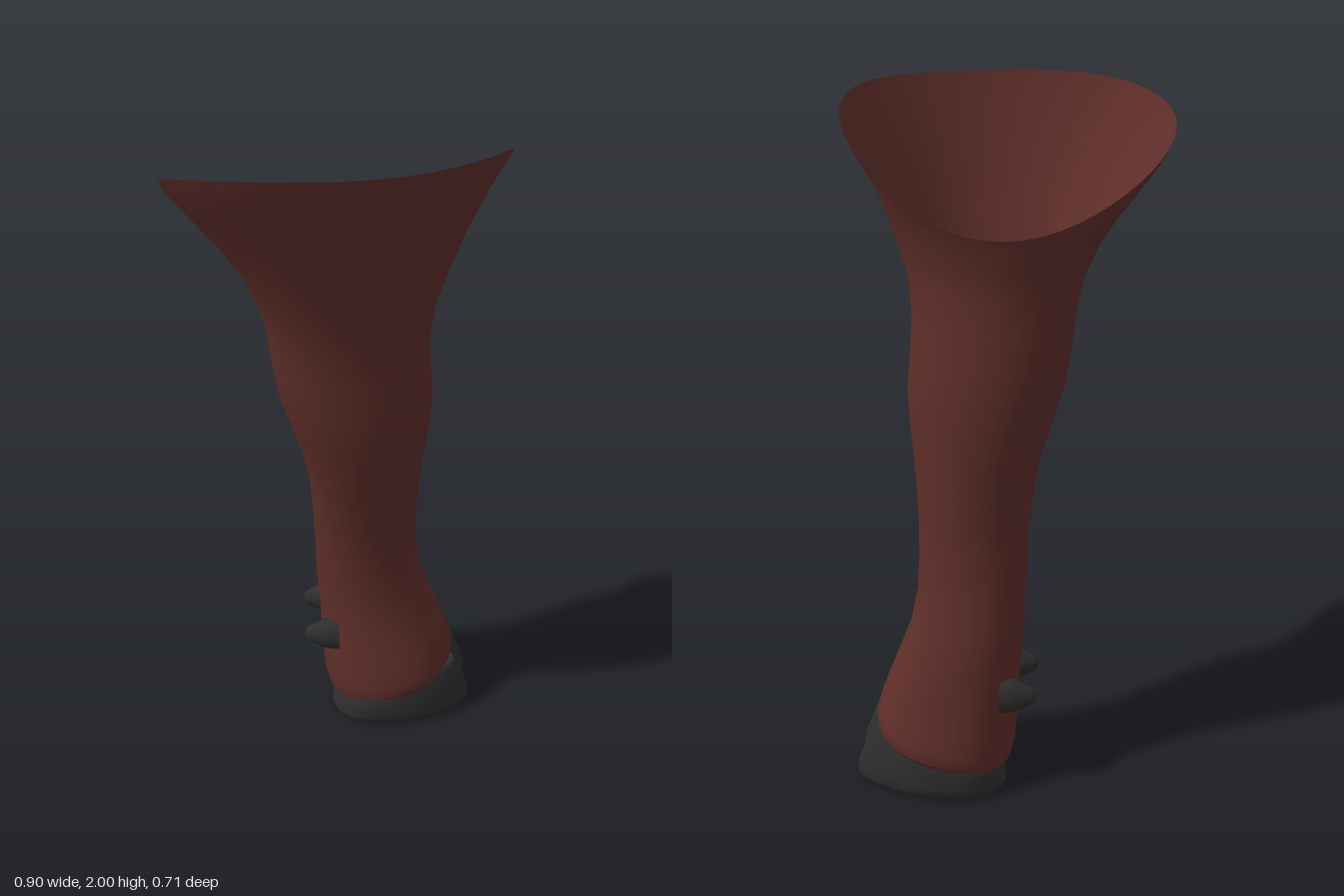
import * as THREE from 'three';

const SEG = 56;

// Skin a stack of closed rings (arrays of [x, y, z]); capped rings close both ends with a fan.
function loft(rings, capped) {
  const n = rings[0].length, pos = [], idx = [];
  rings.forEach(r => r.forEach(p => pos.push(...p)));
  for (let i = 0; i < rings.length - 1; i++) {
    for (let j = 0; j < n; j++) {
      const a = i * n + j, b = i * n + (j + 1) % n;
      idx.push(a, a + n, b, b, a + n, b + n);
    }
  }
  if (capped) {
    [0, rings.length - 1].forEach(i => {
      const c = pos.length / 3;
      pos.push(...[0, 1, 2].map(k => rings[i].reduce((s, p) => s + p[k], 0) / n));
      for (let j = 0; j < n; j++) {
        const a = i * n + j, b = i * n + (j + 1) % n;
        if (i === 0) idx.push(c, a, b); else idx.push(c, b, a);
      }
    });
  }
  const g = new THREE.BufferGeometry();
  g.setAttribute('position', new THREE.Float32BufferAttribute(pos, 3));
  g.setIndex(idx);
  g.computeVertexNormals();
  return g;
}

// Leg rings: centre height, x min, x max, z front, z back, slope along x
const LEG = [
  [0.125, 0.03, 0.33, 0.01, -0.30, 0.27],
  [0.105, -0.01, 0.37, 0.04, -0.335, 0.27],
  [0.125, -0.022, 0.378, 0.048, -0.35, 0.26],
  [0.16, -0.032, 0.378, 0.046, -0.345, 0.22],
  [0.22, -0.038, 0.368, 0.037, -0.33, 0.13],
  [0.30, -0.042, 0.345, 0.018, -0.312, 0.05],
  [0.40, -0.05, 0.31, 0.002, -0.30, 0],
  [0.50, -0.058, 0.272, -0.003, -0.28, 0],
  [0.60, -0.06, 0.252, 0, -0.26, 0],
  [0.70, -0.065, 0.247, 0.013, -0.246, 0],
  [0.80, -0.07, 0.247, 0.035, -0.24, 0],
  [0.90, -0.08, 0.252, 0.062, -0.242, 0],
  [1.00, -0.10, 0.26, 0.09, -0.245, 0],
  [1.10, -0.132, 0.27, 0.116, -0.246, 0],
  [1.20, -0.162, 0.275, 0.135, -0.246, 0],
  [1.30, -0.18, 0.266, 0.141, -0.24, 0],
  [1.40, -0.19, 0.26, 0.152, -0.226, 0],
];
// Flared top: fraction of the way to the rim, x min, x max, z front, z back
const FLARE = [
  [0, -0.21, 0.27, 0.177, -0.22],
  [0.25, -0.253, 0.30, 0.222, -0.222],
  [0.5, -0.315, 0.34, 0.27, -0.226],
  [0.75, -0.388, 0.388, 0.315, -0.232],
  [0.9, -0.43, 0.425, 0.342, -0.236],
  [1, -0.45, 0.447, 0.357, -0.24],
];

// One oval ring; height(cos, sin, x) gives y, shear skews z along x
function ring(xl, xr, zf, zb, power, shear, height) {
  const cx = (xl + xr) / 2, cz = (zf + zb) / 2;
  return Array.from({ length: SEG }, (_, j) => {
    const a = j / SEG * Math.PI * 2, c = Math.cos(a), s = Math.sin(a);
    const soft = v => Math.sign(v) * Math.abs(v) ** power;
    const x = cx + soft(c) * (xr - xl) / 2;
    const z = cz + soft(s) * (zf - zb) / 2 + shear * (x - cx);
    return [x, height(c, s, x - cx), z];
  });
}

function legGeometry() {
  const rings = LEG.map(([y, xl, xr, zf, zb, slope]) =>
    ring(xl, xr, zf, zb, y < 0.35 ? 0.9 : 0.97, 0, (c, s, dx) => y + slope * dx));
  FLARE.forEach(([t, xl, xr, zf, zb]) => {
    // The rim sweeps down at the back and a little on one side
    rings.push(ring(xl, xr, zf, zb, 1, -0.07 * t, (c, s) =>
      1.5 + t * (0.5 - 0.345 * ((1 - s) / 2) ** 2.8 - 0.05 * ((1 - c) / 2) ** 2 * (1 - s * s))));
  });
  return loft(rings, false);
}

// Half of the cloven hoof: outline in x and distance from the cleft
const TOE = [[0, 0.02], [0, 0.11], [0.06, 0.175], [0.16, 0.195], [0.28, 0.178], [0.385, 0.125],
  [0.434, 0.078], [0.422, 0.03], [0.37, 0.008], [0.25, -0.004], [0.1, -0.004]];

function toeGeometry(side) {
  const curve = new THREE.CatmullRomCurve3(TOE.map(([x, w]) => new THREE.Vector3(x, 0, w)), true);
  const outline = curve.getPoints(48).slice(0, 48);
  if (side > 0) outline.reverse();
  // height fraction, x scale, width scale
  const layers = [[0, 0.93, 0.74], [0.04, 0.975, 0.86], [0.14, 1, 0.95], [0.35, 0.985, 1],
    [0.7, 0.92, 0.99], [1, 0.865, 0.94], [1.12, 0.82, 0.85]];
  return loft(layers.map(([h, sx, sw]) => outline.map(p => {
    const x = 0.1 + (p.x - 0.1) * sx, w = 0.1 + (p.z - 0.1) * sw;
    return [x, h * (0.065 + 0.265 * x), -0.147 + side * w];
  })), true);
}

export function createModel() {
  const model = new THREE.Group();
  const hide = new THREE.MeshStandardMaterial({ color: 0x5e2e29, side: THREE.DoubleSide });
  const horn = new THREE.MeshStandardMaterial({ color: 0x2e2e2e });
  const add = (name, geometry, material) => {
    const mesh = new THREE.Mesh(geometry, material);
    mesh.name = name;
    model.add(mesh);
    return mesh;
  };

  add('leg', legGeometry(), hide);

  // Blunt cone pointing back from the heel
  const claw = new THREE.LatheGeometry(
    new THREE.SplineCurve([[0.058, 0], [0.052, 0.04], [0.036, 0.075], [0.022, 0.1], [0, 0.108]]
      .map(p => new THREE.Vector2(...p))).getPoints(16), 24);

  [1, -1].forEach(side => {
    const label = side > 0 ? 'front' : 'back';
    add(label + 'Toe', toeGeometry(side), horn);
    const dewclaw = add(label + 'Dewclaw', claw, horn);
    dewclaw.position.set(0.01, 0.308, -0.147 + side * 0.092);
    dewclaw.rotation.z = Math.PI / 2;
    dewclaw.scale.z = 0.72;
  });

  return model;
}
